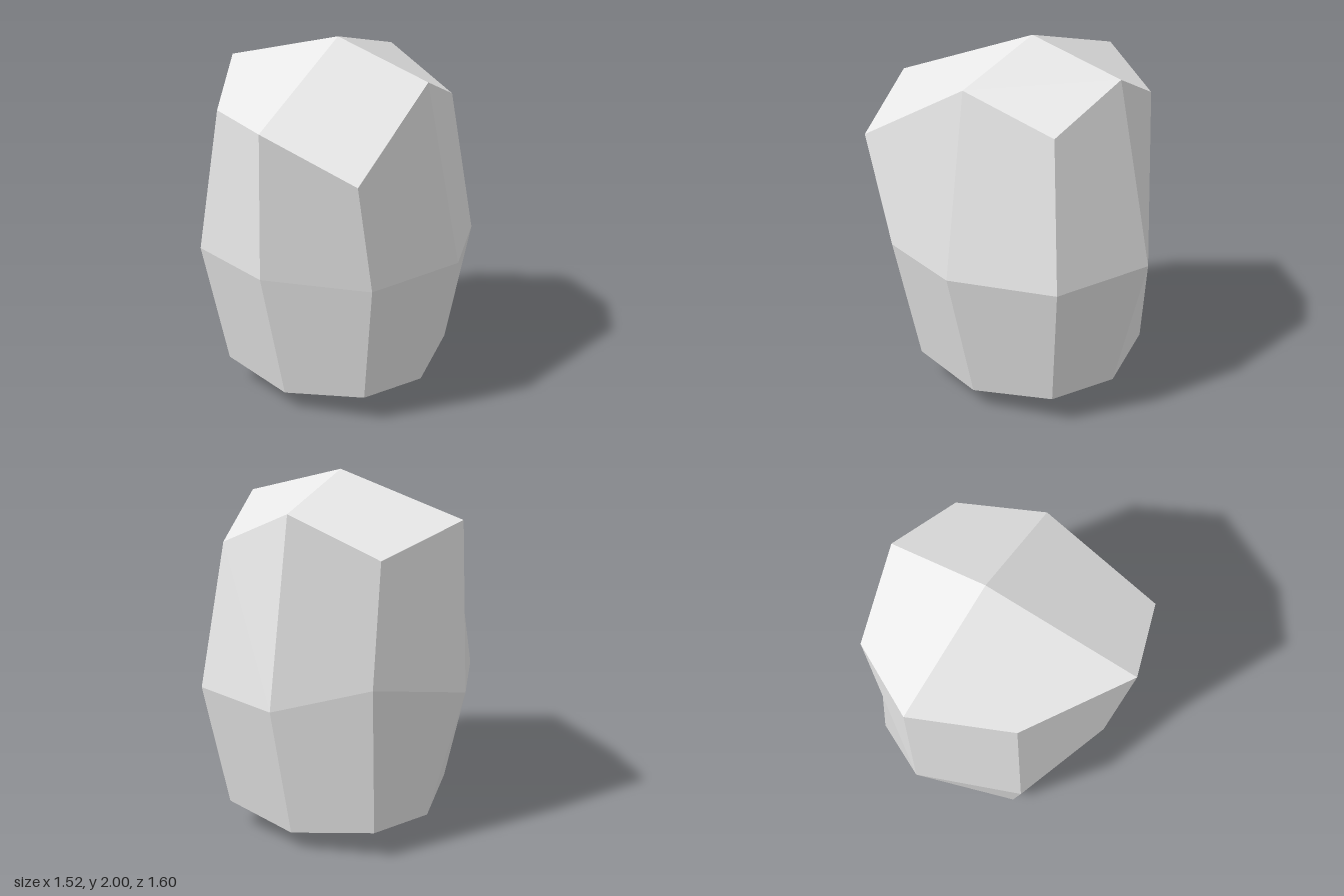
import * as THREE from 'three';

// Ring of eight points around the stone, from +x towards +z:
// side centres on even places, corners on odd places.
function ring(sideY, cornerY, side, front, back, cornerX, cornerFront, cornerBack) {
  const mid = -0.04;
  return [
    [side, sideY, mid], [cornerX, cornerY, cornerFront],
    [0, sideY, front], [-cornerX, cornerY, cornerFront],
    [-side, sideY, mid], [-cornerX, cornerY, cornerBack],
    [0, sideY, back], [cornerX, cornerY, cornerBack],
  ];
}

export function createModel() {
  const group = new THREE.Group();
  group.name = 'rock';
  const stone = new THREE.MeshStandardMaterial({ color: 0xe7e7e7 });
  stone.name = 'stone grey';

  const low = ring(0.105, 0.16, 0.55, 0.51, -0.6, 0.452, 0.41, -0.5);
  const middle = ring(0.86, 0.845, 0.76, 0.72, -0.8, 0.555, 0.51, -0.595);
  // Dent in the back corner
  middle[5] = [-0.425, 0.945, -0.473];
  // Uneven, chipped upper rim
  const high = [
    [0.565, 1.835, -0.015], [0.562, 1.46, 0.667],
    [0.07, 1.685, 0.8], [-0.475, 1.63, 0.425],
    [-0.735, 1.8, -0.07], [-0.48, 1.645, -0.5],
    [0, 1.855, -0.6], [0.452, 1.645, -0.5],
  ];
  const bottom = [0, 0, -0.04];
  const peak = [-0.005, 2, -0.04];

  const positions = [];
  const normals = [];
  // Facet split along p-r, shaded with one normal
  const quad = (p, q, r, s) => {
    positions.push(...p, ...q, ...r, ...p, ...r, ...s);
    const [a, b, c, d] = [p, q, r, s].map((v) => new THREE.Vector3(...v));
    const normal = c.sub(a).cross(d.sub(b)).normalize();
    for (let k = 0; k < 6; k++) normals.push(normal.x, normal.y, normal.z);
  };

  for (let i = 0; i < 8; i++) {
    const n = (i + 1) % 8;
    // Lower and upper side facets, split from corner to side centre
    if (i % 2 === 0) {
      quad(middle[i], middle[n], low[n], low[i]);
      quad(middle[i], high[i], high[n], middle[n]);
    } else {
      quad(low[i], middle[i], middle[n], low[n]);
      quad(high[i], high[n], middle[n], middle[i]);
      // Top and underside facets
      quad(high[n], high[i], high[i - 1], peak);
      quad(low[i - 1], low[i], low[n], bottom);
    }
  }

  const geometry = new THREE.BufferGeometry();
  geometry.setAttribute('position', new THREE.Float32BufferAttribute(positions, 3));
  geometry.setAttribute('normal', new THREE.Float32BufferAttribute(normals, 3));
  const body = new THREE.Mesh(geometry, stone);
  body.name = 'stoneBody';
  group.add(body);
  return group;
}
